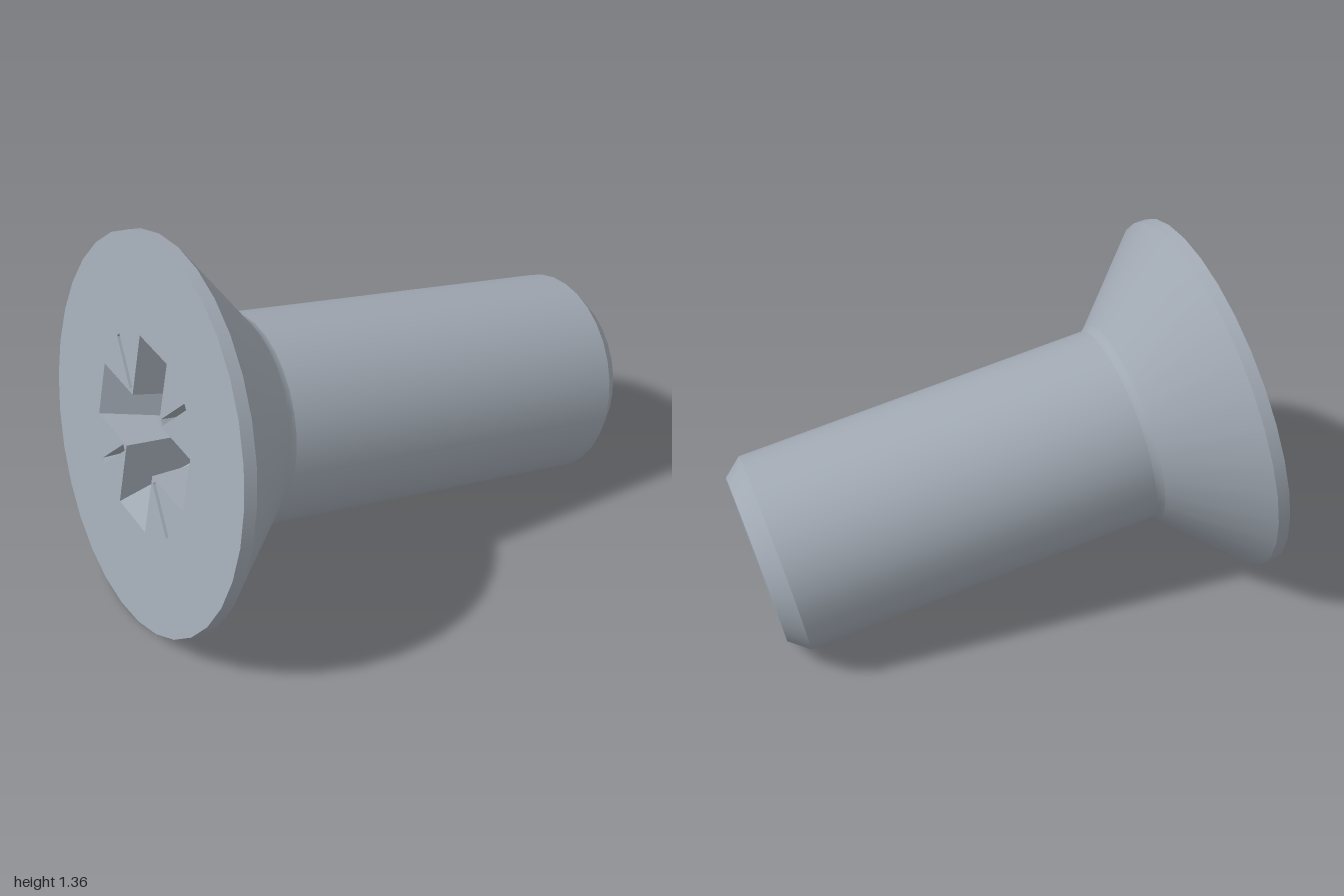
import * as THREE from 'three';
import { mergeGeometries } from 'three/addons/utils/BufferGeometryUtils.js';

const SIDES = 32;
const HEAD_R = 0.687, SHAFT_R = 0.373, TIP_R = 0.315, LENGTH = 1.793;
const v2 = (x, y) => new THREE.Vector2(x, y);

// Surface of revolution about z; profile points are [radius, z], tip end first
function turned(points) {
  return new THREE.LatheGeometry(points.map(([r, z]) => v2(r, z)), SIDES).rotateX(Math.PI / 2);
}

// Open pocket: walls from the outline at z = 0 down to a smaller outline, plus a floor
function pocket(top, bottom, depth) {
  const pos = [];
  top.forEach((a, i) => {
    const j = (i + 1) % top.length, b = top[j], c = bottom[i], d = bottom[j];
    pos.push(a.x, a.y, 0, b.x, b.y, 0, c.x, c.y, -depth);
    pos.push(b.x, b.y, 0, d.x, d.y, -depth, c.x, c.y, -depth);
  });
  const walls = new THREE.BufferGeometry();
  walls.setAttribute('position', new THREE.Float32BufferAttribute(pos, 3));
  walls.computeVertexNormals();
  const floor = new THREE.ShapeGeometry(new THREE.Shape(bottom)).toNonIndexed();
  floor.deleteAttribute('uv');
  floor.translate(0, 0, -depth);
  return mergeGeometries([walls, floor]);
}

// Four-armed outline, counter-clockwise
function cross(arm, half) {
  const pts = [];
  for (let k = 0; k < 4; k++) {
    for (const [x, y] of [[arm, -half], [arm, half], [half, half]]) {
      pts.push(v2(x, y).rotateAround(v2(0, 0), k * Math.PI / 2));
    }
  }
  return pts;
}

// Narrow radial outline between two radii, counter-clockwise
function slit(inner, outer, half, angle) {
  return [[inner, -half], [outer, -half], [outer, half], [inner, half]]
    .map(([x, y]) => v2(x, y).rotateAround(v2(0, 0), angle));
}

export function createModel() {
  const model = new THREE.Group();
  model.name = 'countersunkScrew';
  const steel = new THREE.MeshStandardMaterial({ color: 0xa1a9b3 });
  steel.name = 'steel grey';

  const screw = new THREE.Group();
  screw.name = 'screw';
  model.add(screw);
  const add = (name, geometry) => {
    const mesh = new THREE.Mesh(geometry, steel);
    mesh.name = name;
    screw.add(mesh);
  };

  // Tip and bevel
  add('tipFace', turned([[0, -LENGTH], [TIP_R, -LENGTH]]));
  add('tipBevel', turned([[TIP_R, -LENGTH], [SHAFT_R, -LENGTH + 0.07]]));

  // Shaft running through a tiny fillet into the conical head
  add('shaft', turned([[SHAFT_R, -LENGTH + 0.07], [SHAFT_R, -0.385], [SHAFT_R, -0.375]]));
  add('neckFillet', turned([[SHAFT_R, -0.375], [SHAFT_R + 0.004, -0.359], [SHAFT_R + 0.014, -0.345]]));
  add('headCone', turned([[SHAFT_R + 0.014, -0.345], [HEAD_R, -0.045]]));
  add('headRim', turned([[HEAD_R, -0.045], [HEAD_R, 0]]));

  // Flat head face with the driver recess cut out
  const disc = [];
  for (let i = 0; i < SIDES; i++) {
    const a = (i / SIDES) * Math.PI * 2;
    disc.push(v2(Math.cos(a) * HEAD_R, Math.sin(a) * HEAD_R));
  }
  const face = new THREE.Shape(disc);
  const crossTop = cross(0.325, 0.1);
  face.holes.push(new THREE.Path(crossTop));
  add('crossRecess', pocket(crossTop, cross(0.15, 0.075), 0.36));

  // Diagonal slits between the arms
  for (let k = 0; k < 4; k++) {
    const angle = Math.PI / 4 + k * Math.PI / 2;
    const top = slit(0.165, 0.355, 0.011, angle);
    face.holes.push(new THREE.Path(top));
    add('recessSlit' + (k + 1), pocket(top, slit(0.165, 0.2, 0.008, angle), 0.3));
  }
  add('headFace', new THREE.ShapeGeometry(face));

  // Tilt the screw: local z points out of the head
  const out = new THREE.Vector3(-0.962, 0.181, -0.205).normalize();
  const side = new THREE.Vector3(0, 1, 0).cross(out).normalize();
  const up = out.clone().cross(side);
  screw.quaternion.setFromRotationMatrix(new THREE.Matrix4().makeBasis(side, up, out));
  screw.position.set(-0.813, 0.685, -0.023);
  return model;
}
